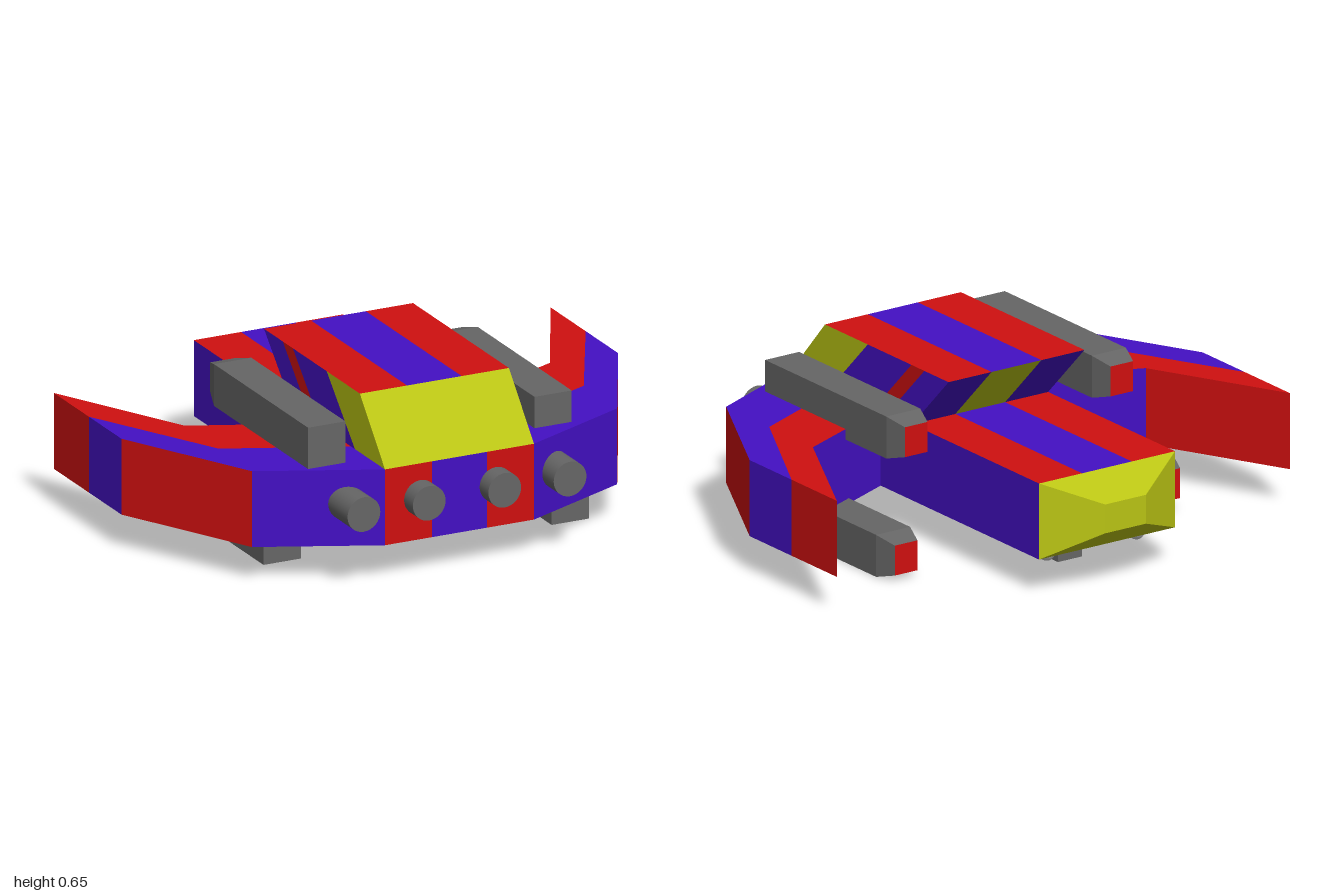
import * as THREE from 'three';

const RED = 0xd01010, BLUE = 0x4410c4, YELLOW = 0xbac414, GREY = 0x666666, DARK = 0x3a3a3a, PALE = 0xcccccc;
const mats = {};
const mat = (c) => (mats[c] ??= new THREE.MeshStandardMaterial({ color: c, flatShading: true }));
const smooth = (c) => (mats['s' + c] ??= new THREE.MeshStandardMaterial({ color: c }));

// Builds a convex shell from [color, a, b, c, d] panels, each turned to face away from the centre
function shell(name, panels, centre) {
  const group = new THREE.Group();
  group.name = name;
  const mid = new THREE.Vector3(...centre);
  const byColor = new Map();
  for (const [color, ...corners] of panels) {
    const v = corners.map((p) => new THREE.Vector3(...p));
    const normal = v[1].clone().sub(v[0]).cross(v[2].clone().sub(v[0]));
    if (normal.dot(v[0].clone().sub(mid)) < 0) v.reverse();
    if (!byColor.has(color)) byColor.set(color, []);
    for (let i = 1; i < v.length - 1; i++) byColor.get(color).push(v[0], v[i], v[i + 1]);
  }
  for (const [color, points] of byColor) {
    const geo = new THREE.BufferGeometry().setFromPoints(points);
    geo.computeVertexNormals();
    const mesh = new THREE.Mesh(geo, mat(color));
    mesh.name = name + 'Panels';
    group.add(mesh);
  }
  return group;
}

// Four side panels joining two rectangles [x, y, z, halfWidth, halfHeight]
const corners = ([x, y, z, w, h]) => [[x - w, y - h, z], [x + w, y - h, z], [x + w, y + h, z], [x - w, y + h, z]];
function loft(color, r0, r1) {
  const a = corners(r0), b = corners(r1);
  return a.map((p, i) => [color, p, a[(i + 1) % 4], b[(i + 1) % 4], b[i]]);
}

function mesh(name, geo, material, x, y, z) {
  const m = new THREE.Mesh(geo, material);
  m.name = name;
  m.position.set(x, y, z);
  return m;
}
const box = (name, color, w, h, d, x, y, z) => mesh(name, new THREE.BoxGeometry(w, h, d), mat(color), x, y, z);
function rod(name, color, r, z0, z1, x, y) {
  const geo = new THREE.CylinderGeometry(r, r, z1 - z0, 32).rotateX(Math.PI / 2);
  return mesh(name, geo, smooth(color), x, y, (z0 + z1) / 2);
}

const BOTTOM = 0.14, TOP = 0.43, ROOF = 0.655, HALF = 0.3;
const STRIPES = [[-HALF, -0.11, RED], [-0.11, 0.11, BLUE], [0.11, HALF, RED]];

function hull() {
  const f = 0.785, b = -0.74, panels = [];
  for (const [x0, x1, c] of STRIPES) {
    panels.push([c, [x0, TOP, f], [x1, TOP, f], [x1, TOP, b], [x0, TOP, b]]);
    panels.push([c, [x0, BOTTOM, f], [x1, BOTTOM, f], [x1, BOTTOM, b], [x0, BOTTOM, b]]);
    panels.push([c, [x0, BOTTOM, f], [x1, BOTTOM, f], [x1, TOP, f], [x0, TOP, f]]);
  }
  for (const x of [-HALF, HALF]) panels.push([BLUE, [x, BOTTOM, f], [x, TOP, f], [x, TOP, b], [x, BOTTOM, b]]);
  return shell('hull', panels, [0, 0.285, 0]);
}

function tailCap() {
  const end = [0, 0.285, -0.855, 0.09, 0.055];
  return shell('tailCap', [...loft(YELLOW, [0, 0.285, -0.74, HALF, 0.145], end), [YELLOW, ...corners(end)]], [0, 0.285, -0.78]);
}

function cabin() {
  const panels = [[YELLOW, [-HALF, TOP, 0.785], [HALF, TOP, 0.785], [HALF, ROOF, 0.585], [-HALF, ROOF, 0.585]]];
  for (const [x0, x1, c] of STRIPES) {
    panels.push([c, [x0, ROOF, 0.585], [x1, ROOF, 0.585], [x1, ROOF, -0.18], [x0, ROOF, -0.18]]);
    // undercut back with a window in the middle
    panels.push([c === BLUE ? YELLOW : BLUE, [x0, ROOF, -0.18], [x1, ROOF, -0.18], [x1, TOP, 0.045], [x0, TOP, 0.045]]);
  }
  // slanted bands on the sides: [colour, front z at roof, back z at roof]
  const bands = [[BLUE, 0.32, 0.05], [RED, 0.05, -0.03], [BLUE, -0.03, -0.18]];
  for (const x of [-HALF, HALF]) {
    panels.push([YELLOW, [x, TOP, 0.785], [x, ROOF, 0.585], [x, ROOF, 0.32], [x, TOP, 0.545]]);
    for (const [c, z0, z1] of bands) {
      panels.push([c, [x, ROOF, z0], [x, ROOF, z1], [x, TOP, z1 + 0.225], [x, TOP, z0 + 0.225]]);
    }
  }
  return shell('cabin', panels, [0, 0.54, 0.3]);
}

// Swept wing in two segments; each station is [x, front z, colour split z, back z]
function wing(side) {
  const group = new THREE.Group();
  group.name = side > 0 ? 'leftWing' : 'rightWing';
  const stations = [[0.3, 0.785, 0.515, 0.24], [0.735, 0.587, 0.32, 0.05], [1, 0.07, -0.19, -0.47]];
  const at = (s, k, y) => [side * s[0], y, s[k]];
  for (let i = 0; i < 2; i++) {
    const a = stations[i], b = stations[i + 1];
    const wall = (c, k) => [c, at(a, k, BOTTOM), at(b, k, BOTTOM), at(b, k, TOP), at(a, k, TOP)];
    const flat = (c, k, l, y) => [c, at(a, k, y), at(b, k, y), at(b, l, y), at(a, l, y)];
    const edge = i ? RED : BLUE;
    const panels = [wall(edge, 1), wall(edge, 3), flat(BLUE, 1, 2, TOP), flat(RED, 2, 3, TOP), flat(BLUE, 1, 3, BOTTOM)];
    if (i) {
      for (const [c, k] of [[BLUE, 1], [RED, 2]]) {
        panels.push([c, at(b, k, BOTTOM), at(b, k + 1, BOTTOM), at(b, k + 1, TOP), at(b, k, TOP)]);
      }
    }
    const centre = [side * (a[0] + b[0]) / 2, 0.285, (a[2] + b[2]) / 2];
    group.add(shell(i ? 'wingTip' : 'wingRoot', panels, centre));
  }
  return group;
}

// Square pod with a tapered end and a red end face
function pod(name, x, y, front) {
  const a = [x, y, front, 0.075, 0.08], b = [x, y, front - 0.75, 0.075, 0.08], c = [x, y, front - 0.83, 0.05, 0.057];
  return shell(name, [[GREY, ...corners(a)], ...loft(GREY, a, b), ...loft(GREY, b, c), [RED, ...corners(c)]], [x, y, front - 0.4]);
}

function bellyGun() {
  const g = new THREE.Group();
  g.name = 'bellyGun';
  const x = -0.015, y = 0.057;
  g.add(box('gunBody', GREY, 0.105, 0.105, 0.105, x, y, -0.437));
  g.add(box('gunMount', GREY, 0.07, 0.04, 0.07, x, 0.125, -0.437));
  g.add(rod('barrel', GREY, 0.03, -0.4, -0.12, x, y));
  g.add(rod('muzzle', GREY, 0.043, -0.15, -0.06, x, y));
  g.add(mesh('muzzleLight', new THREE.SphereGeometry(0.042, 24, 16), smooth(RED), x, y, -0.065));
  return g;
}

// Small belly fitting: flat foot with a rounded bulb at its back end
function foot(x, front) {
  const g = new THREE.Group();
  g.name = 'bellyFoot';
  g.add(box('footPlate', PALE, 0.08, 0.04, 0.16, x, 0.125, front - 0.08));
  const bulb = mesh('footBulb', new THREE.SphereGeometry(1, 24, 16), smooth(PALE), x, 0.14, front - 0.16);
  bulb.scale.set(0.028, 0.054, 0.06);
  g.add(bulb);
  return g;
}

export function createModel() {
  const model = new THREE.Group();
  model.name = 'spaceship';
  model.add(hull(), tailCap(), cabin(), wing(1), wing(-1));
  model.add(pod('upperLeftPod', 0.45, 0.47, 0.64), pod('upperRightPod', -0.47, 0.508, 0.657));
  model.add(pod('lowerLeftPod', 0.58, 0.08, 0.52), pod('lowerRightPod', -0.58, 0.117, 0.52));
  for (const x of [-0.42, -0.157, 0.147, 0.41]) model.add(rod('engine', GREY, 0.066, 0.6, 0.855, x, 0.3));
  model.add(bellyGun(), box('bellyHatch', DARK, 0.2, 0.02, 0.58, 0, 0.137, 0.42));
  for (const s of [-1, 1]) model.add(foot(s * 0.3, 0.62), foot(s * 0.198, -0.47));
  return model;
}
